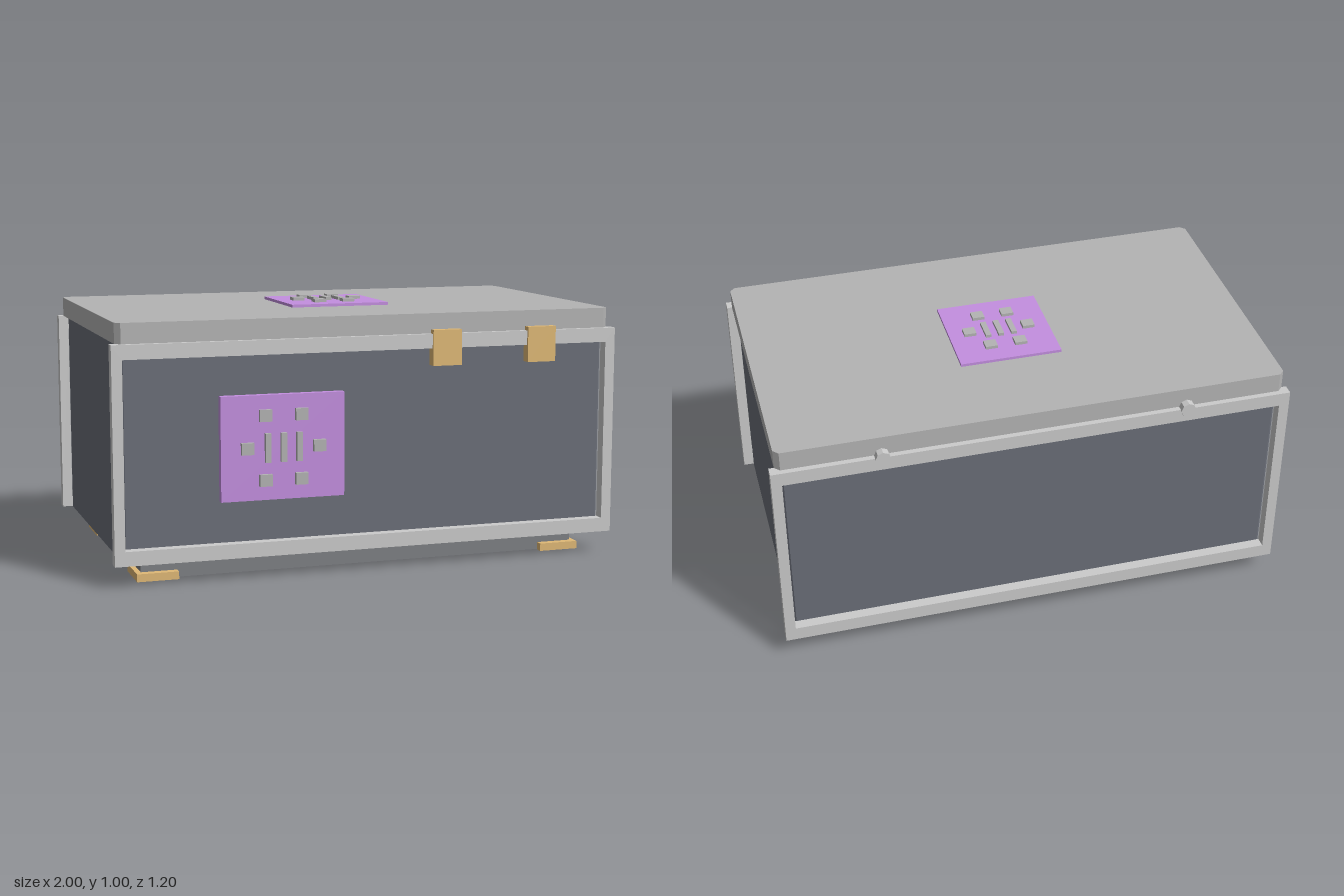
import * as THREE from 'three';

const mat = (color) => new THREE.MeshStandardMaterial({ color, flatShading: true });

export function createModel() {
  const root = new THREE.Group();
  root.name = 'chest';
  const grey = mat(0xcccccc), lidGrey = mat(0xb4b4b4), slate = mat(0x6a6e78);
  const railGrey = mat(0x7e8084), brass = mat(0xe0b976), violet = mat(0xc48fe0);

  const add = (name, geometry, material, x, y, z, parent = root) => {
    const mesh = new THREE.Mesh(geometry, material);
    mesh.name = name;
    mesh.position.set(x, y, z);
    parent.add(mesh);
    return mesh;
  };
  const box = (name, w, h, d, material, x, y, z, parent) =>
    add(name, new THREE.BoxGeometry(w, h, d), material, x, y, z, parent);

  // Upright block whose four vertical edges are chamfered by c
  const chamferedBlock = (name, hx, hz, c, y0, y1, material) => {
    const outline = [[hx, hz - c], [hx - c, hz], [c - hx, hz], [-hx, hz - c],
      [-hx, c - hz], [c - hx, -hz], [hx - c, -hz], [hx, c - hz]];
    const shape = new THREE.Shape(outline.map(([x, z]) => new THREE.Vector2(x, z)));
    const geo = new THREE.ExtrudeGeometry(shape, { depth: y1 - y0, bevelEnabled: false });
    geo.rotateX(-Math.PI / 2);
    return add(name, geo, material, 0, y0, 0);
  };
  chamferedBlock('body', 0.96, 0.55, 0.01, 0.085, 0.905, slate);
  chamferedBlock('lid', 0.98, 0.57, 0.02, 0.9, 0.977, lidGrey);

  // Rectangular frames standing proud of the front and back panels
  const frame = new THREE.Shape();
  frame.moveTo(-1, 0.085).lineTo(1, 0.085).lineTo(1, 0.9).lineTo(-1, 0.9).closePath();
  const opening = new THREE.Path();
  opening.moveTo(-0.96, 0.14).lineTo(-0.96, 0.845).lineTo(0.96, 0.845).lineTo(0.96, 0.14).closePath();
  frame.holes.push(opening);
  const frameGeo = new THREE.ExtrudeGeometry(frame, { depth: 0.042, bevelEnabled: false });
  add('frontFrame', frameGeo, grey, 0, 0, 0.549);
  add('backFrame', frameGeo, grey, 0, 0, -0.591);

  // Two skids with a flat foot under each end
  for (const sz of [1, -1]) {
    box('skid', 1.76, 0.084, 0.12, railGrey, 0, 0.044, sz * 0.41);
    for (const sx of [1, -1]) box('foot', 0.16, 0.03, 0.18, brass, sx * 0.82, 0.015, sz * 0.41);
  }

  // Clasps across the lid seam
  for (const x of [0.292, 0.683]) box('clasp', 0.116, 0.137, 0.04, brass, x, 0.847, 0.58);

  // Hinge pins at the back
  for (const x of [-0.587, 0.587]) {
    const pin = add('hingePin', new THREE.CylinderGeometry(0.029, 0.029, 0.04, 8), grey, x, 0.899, -0.58);
    pin.rotation.x = Math.PI / 2;
  }

  // Plaque lying in XY with raised studs and three slim bars
  const plaque = (name, w, h, depth, stepX, stepY, barH, raise) => {
    const group = new THREE.Group();
    group.name = name;
    root.add(group);
    box('plate', w, h, depth, violet, 0, 0, -depth / 2, group);
    const studs = [[2, 0], [-2, 0], [1, 1], [-1, 1], [1, -1], [-1, -1]];
    for (const [i, j] of studs)
      box('stud', 0.048, 0.045, raise, lidGrey, i * stepX, j * stepY, raise / 2, group);
    for (const i of [-1, 0, 1])
      box('bar', 0.022, barH, raise, lidGrey, i * stepX * 0.87, 0, raise / 2, group);
    return group;
  };
  plaque('frontPlaque', 0.48, 0.396, 0.03, 0.07, 0.122, 0.11, 0.016).position.set(-0.355, 0.496, 0.579);
  const top = plaque('topPlaque', 0.4, 0.4, 0.013, 0.059, 0.104, 0.095, 0.012);
  top.position.set(0, 0.988, -0.012);
  top.rotation.x = -Math.PI / 2;

  return root;
}
